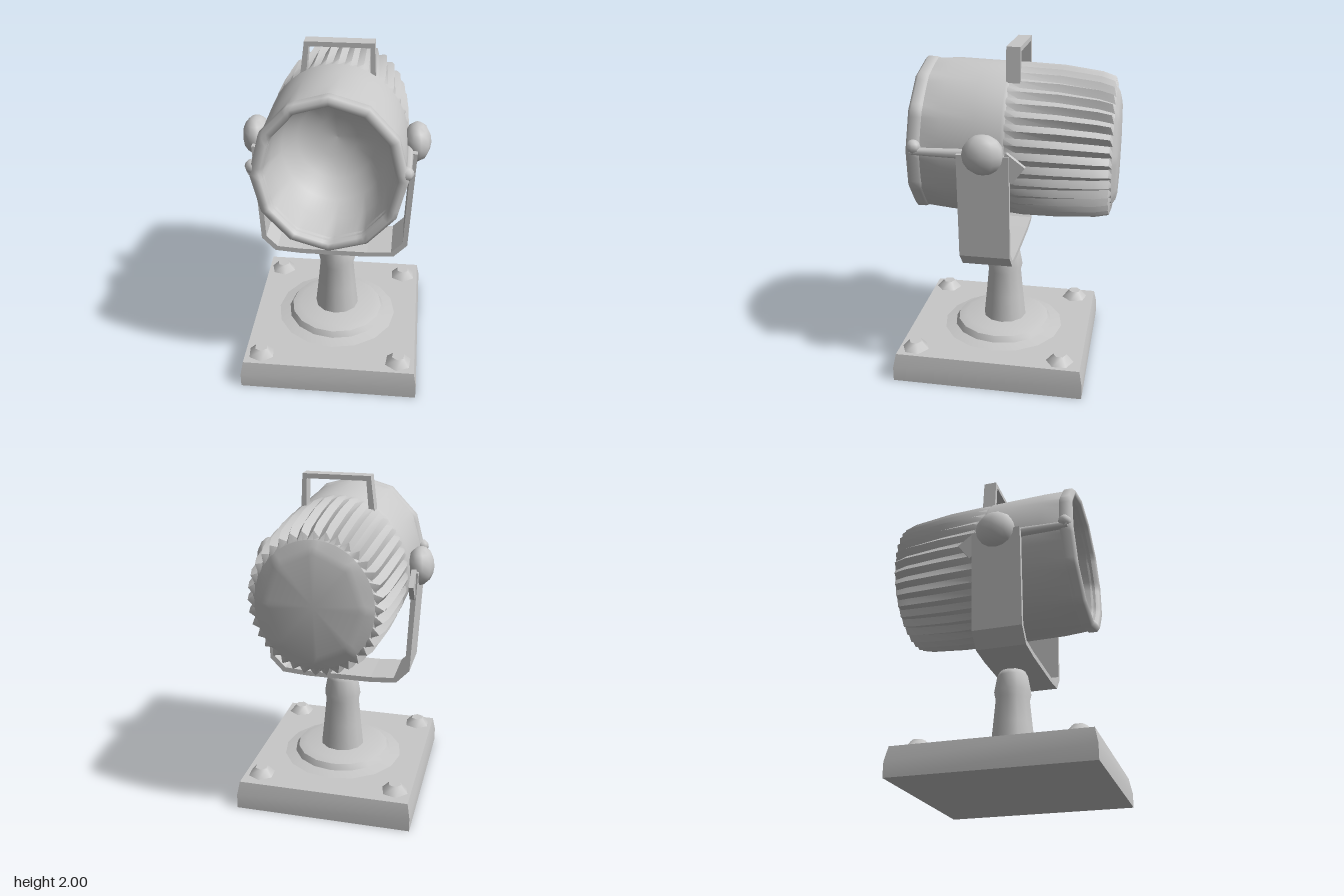
import * as THREE from 'three';
import { toCreasedNormals } from 'three/addons/utils/BufferGeometryUtils.js';

const grey = new THREE.MeshStandardMaterial({ color: 0xc8c8c8 });
grey.name = 'painted grey metal';

const SEGS = 72;

// Smooth skin through elliptical rings along z: [z, centreY, radiusX, radiusY, ribDepth, facets, tilt]
function loft(rows, closeEnd = false) {
  const pos = [], index = [];
  for (const [z, cy, rx, ry, rib = 0, facets = 0, tilt = 0] of rows) {
    for (let j = 0; j < SEGS; j++) {
      const a = (j / SEGS) * Math.PI * 2;
      let k = 1;
      if (facets) {
        const step = (Math.PI * 2) / facets;
        k = Math.cos(step / 2) / Math.cos((a % step) - step / 2);
      }
      const d = j % 2 ? rib : 0;
      const s = Math.sin(a);
      pos.push((rx * k - d) * Math.cos(a), cy + (ry * k - d) * s, z - tilt * s);
    }
  }
  for (let i = 0; i < rows.length - 1; i++) {
    for (let j = 0; j < SEGS; j++) {
      const n = (j + 1) % SEGS;
      const a = i * SEGS + j, b = i * SEGS + n, c = a + SEGS, d = b + SEGS;
      index.push(a, c, b, b, c, d);
    }
  }
  if (closeEnd) {
    const [z, cy] = rows[rows.length - 1];
    const base = (rows.length - 1) * SEGS, mid = pos.length / 3;
    pos.push(0, cy, z);
    for (let j = 0; j < SEGS; j++) index.push(base + j, mid, base + ((j + 1) % SEGS));
  }
  const g = new THREE.BufferGeometry();
  g.setAttribute('position', new THREE.Float32BufferAttribute(pos, 3));
  g.setIndex(index);
  g.computeVertexNormals();
  return g;
}

const lathe = (pts, sides) =>
  new THREE.LatheGeometry(pts.map(([x, y]) => new THREE.Vector2(x, y)), sides);

// Extrudes an XY outline between two z values
function plate(pts, z0, z1, holePts) {
  const v = (p) => p.map(([x, y]) => new THREE.Vector2(x, y));
  const shape = new THREE.Shape(v(pts));
  if (holePts) shape.holes.push(new THREE.Path(v(holePts)));
  return new THREE.ExtrudeGeometry(shape, { depth: z1 - z0, bevelEnabled: false }).translate(0, 0, z0);
}

export function createModel() {
  const group = new THREE.Group();
  const add = (name, geometry, x = 0, y = 0, z = 0) => {
    const m = new THREE.Mesh(geometry, grey);
    m.name = name;
    m.position.set(x, y, z);
    group.add(m);
    return m;
  };

  // Square base with slightly drawn-in sides
  const base = new THREE.BoxGeometry(1.07, 0.175, 1.15, 1, 2, 1);
  const p = base.attributes.position;
  for (let i = 0; i < p.count; i++) {
    if (p.getY(i) > 0.05) {
      p.setX(i, p.getX(i) * 0.97);
      p.setZ(i, p.getZ(i) * 0.97);
    }
  }
  base.computeVertexNormals();
  add('base', base, 0, 0.0875, 0.07);

  // Low lumps at the base corners
  for (const x of [-0.42, 0.42]) {
    for (const z of [-0.36, 0.53]) {
      const lump = add('cornerBolt', new THREE.CylinderGeometry(0.04, 0.085, 0.05, 6), x, 0.198, z);
      lump.rotation.y = x + z;
    }
  }

  // Round flange and tapered column
  add('flange', toCreasedNormals(
    lathe([[0.4, 0.17], [0.31, 0.19], [0.29, 0.225], [0.24, 0.24], [0, 0.243]], 16), 0.7), 0, 0, 0.06);
  const column = add('column', lathe(
    [[0.135, 0.235], [0.118, 0.4], [0.103, 0.56], [0.113, 0.6], [0.095, 0.7], [0.075, 0.74], [0, 0.745]], 12), 0, 0, 0.05);
  column.scale.x = 1.02;

  // U-shaped yoke
  const outer = [[0.472, 1.45], [0.44, 0.83], [0.36, 0.745], [0.2, 0.733]];
  const inner = [[0.44, 1.45], [0.412, 0.845], [0.345, 0.775], [0.2, 0.765]];
  const mirror = (pts) => pts.map(([x, y]) => [-x, y]).reverse();
  add('yoke', plate([...outer, ...mirror(outer), ...mirror(inner).reverse(), ...[...inner].reverse()], -0.06, 0.235));

  // Pivot knobs, lock tabs and rim struts on both sides
  for (const s of [-1, 1]) {
    const knob = add('pivotKnob', new THREE.SphereGeometry(1, 10, 8), s * 0.465, 1.455, 0.085);
    knob.scale.set(0.082, 0.115, 0.12);
    add('pivotPin', new THREE.CylinderGeometry(0.07, 0.07, 0.1, 10).rotateZ(Math.PI / 2), s * 0.42, 1.455, 0.085);
    const tab = add('lockTab', new THREE.BoxGeometry(0.03, 0.12, 0.13), s * 0.445, 1.38, -0.06);
    tab.rotation.x = -0.65;
    add('rimStrut', new THREE.CylinderGeometry(0.022, 0.03, 0.34, 8).rotateX(Math.PI / 2), s * 0.42, 1.44, 0.34);
    add('rimClamp', new THREE.SphereGeometry(0.042, 8, 6), s * 0.415, 1.465, 0.49);
  }

  // Reflector bowl inside the front opening
  add('reflector', loft([
    [0.02, 1.43, 0.001, 0.001], [0.03, 1.43, 0.12, 0.13], [0.08, 1.43, 0.23, 0.25],
    [0.18, 1.43, 0.305, 0.335], [0.32, 1.43, 0.345, 0.38], [0.51, 1.435, 0.365, 0.4, 0, 12, 0.02],
  ]));
  // Faceted front rim
  add('frontRim', loft([
    [0.48, 1.435, 0.36, 0.395, 0, 12, 0.02], [0.53, 1.435, 0.375, 0.41, 0, 12, 0.02],
    [0.54, 1.435, 0.405, 0.44, 0, 12, 0.02], [0.52, 1.435, 0.43, 0.46, 0, 12, 0.02],
    [0.47, 1.435, 0.43, 0.46, 0, 12, 0.02], [0.45, 1.435, 0.405, 0.44, 0, 12, 0.02],
  ]));
  // Smooth front hood
  add('hood', loft([
    [0.48, 1.435, 0.415, 0.45, 0, 12, 0.02], [0.34, 1.43, 0.415, 0.457], [0.15, 1.425, 0.415, 0.455],
    [0, 1.42, 0.415, 0.455], [-0.03, 1.42, 0.4, 0.44],
  ]));
  // Ribbed rear housing
  add('ribbedHousing', toCreasedNormals(loft([
    [0.0, 1.42, 0.405, 0.45, 0], [-0.08, 1.418, 0.415, 0.455, 0.015], [-0.3, 1.413, 0.41, 0.45, 0.025],
    [-0.52, 1.405, 0.395, 0.428, 0.032], [-0.595, 1.4, 0.375, 0.408, 0.035], [-0.61, 1.4, 0.33, 0.36, 0],
  ]), 0.6));
  // Back cap
  add('backCap', toCreasedNormals(loft([
    [-0.595, 1.4, 0.345, 0.375], [-0.625, 1.4, 0.29, 0.33, 0, 8], [-0.635, 1.4, 0.25, 0.29, 0, 8],
  ], true), 0.5));

  // Carrying handle
  add('handle', plate(
    [[-0.215, 1.8], [0.215, 1.8], [0.205, 2], [-0.19, 2]], -0.08, 0,
    [[-0.18, 1.81], [-0.165, 1.972], [0.18, 1.972], [0.185, 1.81]]));

  return group;
}
